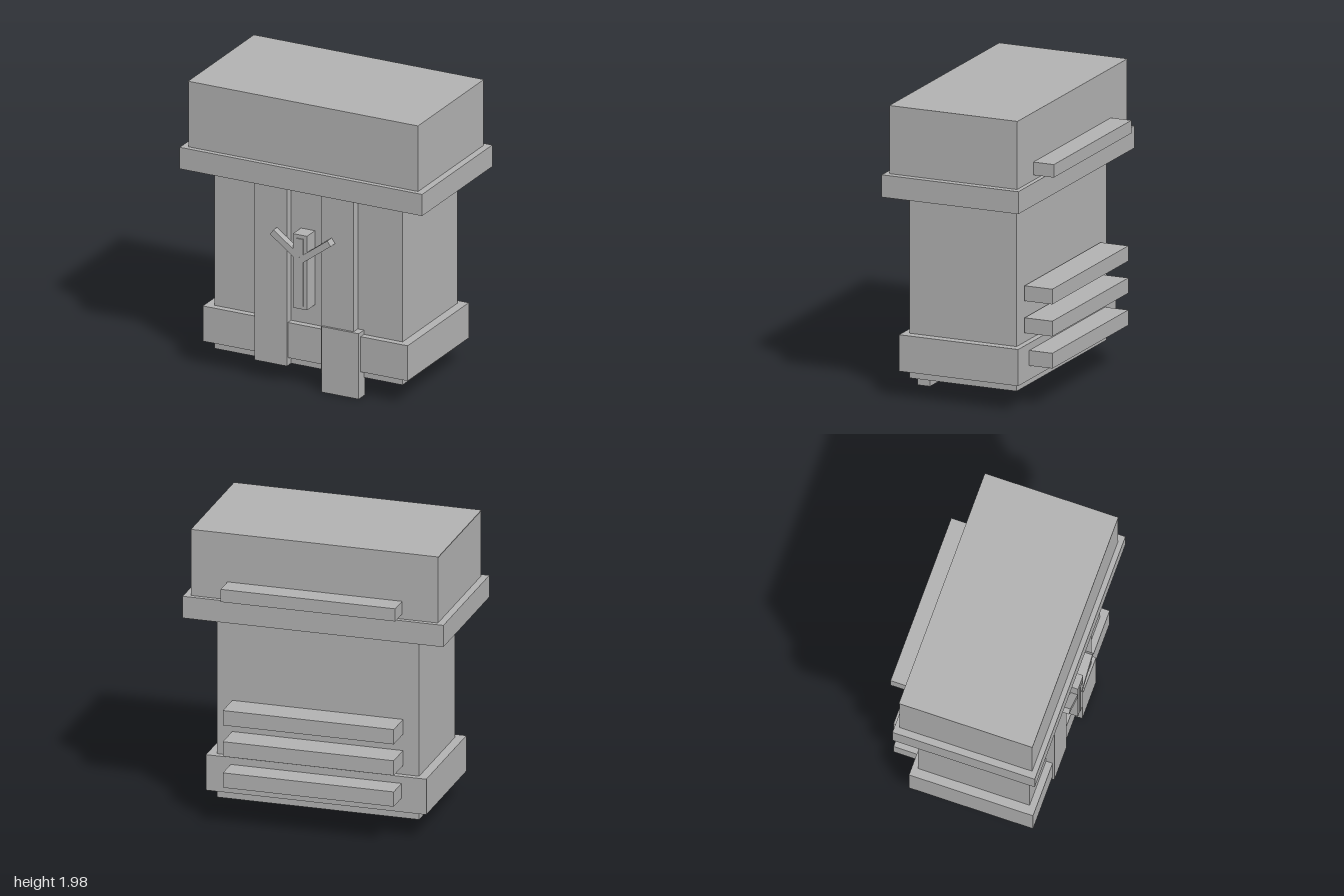
import * as THREE from 'three';

export function createModel() {
  const model = new THREE.Group();
  const stone = new THREE.MeshStandardMaterial({ color: 0xb2b2b2 });
  stone.name = 'plain grey';

  // Box given by its lower and upper limits on each axis
  const block = (name, [x0, x1], [y0, y1], [z0, z1]) => {
    const mesh = new THREE.Mesh(new THREE.BoxGeometry(x1 - x0, y1 - y0, z1 - z0), stone);
    mesh.position.set((x0 + x1) / 2, (y0 + y1) / 2, (z0 + z1) / 2);
    mesh.name = name;
    model.add(mesh);
    return mesh;
  };

  // Main stack: body, lower band, rim and top
  block('body', [-0.687, 0.687], [0.13, 1.4], [-0.335, 0.43]);
  block('lowerBand', [-0.748, 0.748], [0.185, 0.43], [-0.375, 0.475]);
  block('rim', [-0.885, 0.885], [1.38, 1.53], [-0.44, 0.535]);
  block('top', [-0.838, 0.838], [1.52, 1.98], [-0.409, 0.501]);
  block('topPlate', [-0.841, 0.838], [1.98, 1.987], [-0.412, 0.503]);

  // Front straps and the buckle hanging from one of them
  block('rightStrap', [-0.365, -0.127], [0.13, 1.39], [0.42, 0.487]);
  block('leftStrap', [0.122, 0.36], [0.13, 1.39], [0.42, 0.487]);
  block('buckle', [0.135, 0.405], [0.004, 0.46], [0.415, 0.503]);

  // Forked ornament between the straps
  block('ornamentPost', [-0.055, 0.047], [0.57, 1.085], [0.43, 0.54]);
  block('ornamentInlay', [-0.027, 0.022], [0.595, 1.06], [0.53, 0.547]);
  for (const [side, name, front] of [[-1, 'rightBranch', 0.538], [1, 'leftBranch', 0.549]]) {
    const branch = block(name, [-0.132, 0.132], [-0.0215, 0.0215], [0.488, front]);
    branch.position.x = side * 0.106;
    branch.position.y = 0.988;
    branch.rotation.z = side * 0.637;
  }

  // Back slats
  block('upperSlat', [-0.595, 0.59], [1.565, 1.652], [-0.555, -0.405]);
  for (const y of [0.28, 0.495, 0.71]) {
    block('lowerSlat', [-0.58, 0.58], [y, y + 0.102], [-0.54, -0.342]);
  }

  return model;
}
